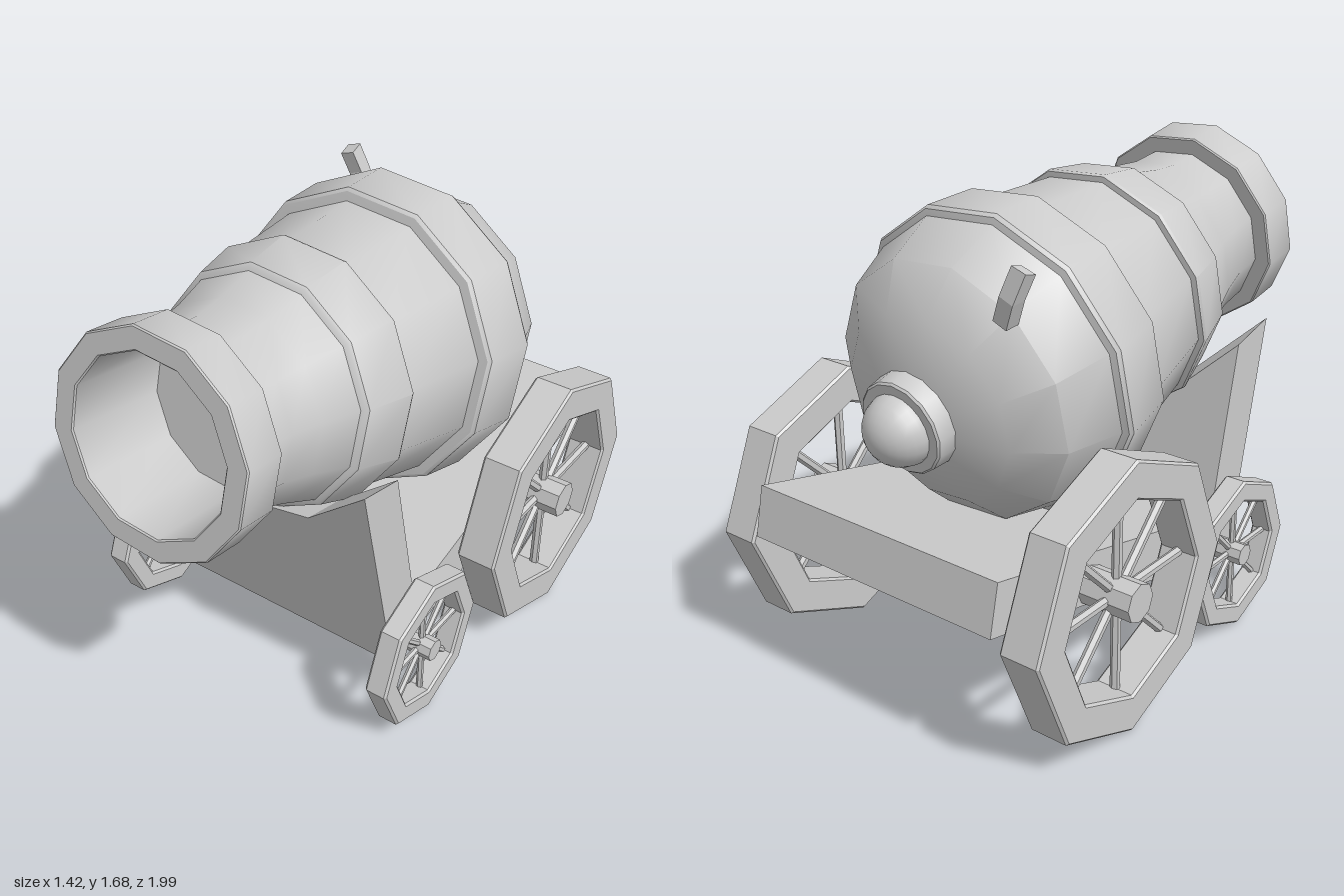
import * as THREE from 'three';
import { toCreasedNormals } from 'three/addons/utils/BufferGeometryUtils.js';

const grey = new THREE.MeshStandardMaterial({ color: 0xcccccc });
const greyDouble = new THREE.MeshStandardMaterial({ color: 0xcccccc, side: THREE.DoubleSide });

function part(name, geometry, material = grey) {
  const mesh = new THREE.Mesh(geometry, material);
  mesh.name = name;
  return mesh;
}

// Counter-clockwise octagon with a corner pointing up
function octagon(r, Type) {
  const pts = [];
  for (let i = 0; i < 8; i++) {
    const a = (i * Math.PI) / 4;
    pts.push(new THREE.Vector2(-r * Math.sin(a), r * Math.cos(a)));
  }
  return new Type(pts);
}

// Spoked wheel on an x axle; x0..x1 is the rim, hub0..hub1 the hub
function wheel(name, side, { r, inner, x0, x1, hub0, hub1, hubR, spokeR, y, z }) {
  const group = new THREE.Group();
  group.name = name;
  const b = 0.008;
  const shape = octagon(r - b, THREE.Shape);
  shape.holes.push(octagon(inner + b, THREE.Path));
  const depth = x1 - x0 - 2 * b;
  const rim = new THREE.ExtrudeGeometry(shape, {
    depth, bevelEnabled: true, bevelSize: b, bevelThickness: b, bevelSegments: 1,
  });
  rim.translate(0, 0, -depth / 2).rotateY(Math.PI / 2);
  group.add(part('rim', rim));

  const hub = new THREE.CylinderGeometry(hubR, hubR, hub1 - hub0, 8).rotateZ(Math.PI / 2);
  hub.translate(side * ((hub0 + hub1 - x0 - x1) / 2), 0, 0);
  group.add(part('hub', toCreasedNormals(hub, 0.5)));

  const len = inner + 0.01;
  for (let i = 0; i < 8; i++) {
    const spoke = new THREE.CylinderGeometry(spokeR, spokeR, len, 6);
    spoke.translate(0, len / 2, 0).rotateX((i * Math.PI) / 4);
    group.add(part('spoke', toCreasedNormals(spoke, 0.5)));
  }
  group.position.set((side * (x0 + x1)) / 2, y, z);
  return group;
}

// Carriage: L-shaped shell, open underneath, with a cradle cut in the front plate
function carriage() {
  const group = new THREE.Group();
  group.name = 'carriage';
  const W = 0.515;
  const stations = [[-W, 1.1], [-0.26, 0.865], [0, 0.805], [0.26, 0.865], [W, 1.1]];
  const profile = (topY) => {
    const topZ = 0.35 + (0.193 * (topY - 0.227)) / 0.873;
    return [
      [0.35, 0.227], [topZ, topY], [topZ - 0.187, topY - 0.047],
      [0.222, 0.44], [-0.956, 0.706], [-0.995, 0.53],
    ];
  };
  const pos = [];
  for (let s = 0; s < stations.length - 1; s++) {
    const [xa, ya] = stations[s];
    const [xb, yb] = stations[s + 1];
    const pa = profile(ya).map(([z, y]) => [xa, y, z]);
    const pb = profile(yb).map(([z, y]) => [xb, y, z]);
    for (let i = 0; i < pa.length - 1; i++) {
      pos.push(...pa[i], ...pb[i], ...pb[i + 1], ...pa[i], ...pb[i + 1], ...pa[i + 1]);
    }
  }
  const shell = new THREE.BufferGeometry();
  shell.setAttribute('position', new THREE.Float32BufferAttribute(pos, 3));
  shell.computeVertexNormals();
  group.add(part('bedAndFrontPlate', shell, greyDouble));

  const outline = (side) => new THREE.Shape(profile(1.1).map(([z, y]) => new THREE.Vector2(-side * z, y)));
  for (const side of [1, -1]) {
    const panel = new THREE.ShapeGeometry(outline(side)).rotateY((side * Math.PI) / 2);
    panel.translate(side * W, 0, 0);
    group.add(part(side > 0 ? 'leftSidePanel' : 'rightSidePanel', panel, greyDouble));
  }
  return group;
}

// Barrel: one turned profile [radius, distance behind the muzzle], breech to bore floor
function barrel() {
  const group = new THREE.Group();
  group.name = 'barrel';
  const profile = [
    [0, 1.715], [0.174, 1.704], [0.335, 1.643], [0.474, 1.527], [0.54, 1.336],
    [0.562, 1.328], [0.57, 1.313], [0.545, 1.108], [0.533, 1.098], [0.5, 1.094],
    [0.445, 0.746], [0.465, 0.742], [0.469, 0.73], [0.424, 0.555], [0.415, 0.547], [0.4, 0.54],
    [0.355, 0.4], [0.328, 0.283], [0.322, 0.16],
    [0.379, 0.16], [0.384, 0.155], [0.384, 0.005], [0.379, 0],
    [0.308, 0], [0.303, 0.005], [0.295, 0.38], [0, 0.38],
  ].map(([r, t]) => new THREE.Vector2(r, -t));
  const phase = THREE.MathUtils.degToRad(11);
  const body = new THREE.LatheGeometry(profile, 12, phase);
  group.add(part('barrelBody', toCreasedNormals(body, 0.56)));

  // Rear collar and knob
  const collar = [[0, 1.775], [0.157, 1.775], [0.164, 1.768], [0.172, 1.69]]
    .map(([r, t]) => new THREE.Vector2(r, -t));
  group.add(part('collar', toCreasedNormals(new THREE.LatheGeometry(collar, 16), 0.6)));
  const knob = part('knob', new THREE.SphereGeometry(0.125, 20, 14));
  knob.position.y = -1.765;
  group.add(knob);

  group.position.set(0, 1.31, 0.935);
  group.rotation.x = THREE.MathUtils.degToRad(80);
  return group;
}

// Short, slightly bent fuse of square section
function fuse() {
  const path = new THREE.CatmullRomCurve3([
    new THREE.Vector3(-0.31, 1.38, -0.66),
    new THREE.Vector3(-0.358, 1.495, -0.674),
    new THREE.Vector3(-0.378, 1.555, -0.656),
  ]);
  const h = 0.028;
  const square = new THREE.Shape([[-h, -h], [h, -h], [h, h], [-h, h]].map((p) => new THREE.Vector2(...p)));
  const g = new THREE.ExtrudeGeometry(square, { steps: 2, extrudePath: path });
  return part('fuse', g, greyDouble);
}

export function createModel() {
  const model = new THREE.Group();
  model.name = 'cannon';
  model.add(barrel(), fuse(), carriage());
  const rear = {
    r: 0.49, inner: 0.355, x0: 0.543, x1: 0.692, hub0: 0.505, hub1: 0.711,
    hubR: 0.068, spokeR: 0.017, y: 0.491, z: -0.502,
  };
  const front = {
    r: 0.29, inner: 0.212, x0: 0.539, x1: 0.624, hub0: 0.505, hub1: 0.637,
    hubR: 0.041, spokeR: 0.012, y: 0.295, z: 0.268,
  };
  for (const [side, label] of [[1, 'left'], [-1, 'right']]) {
    model.add(wheel(label + 'RearWheel', side, rear));
    model.add(wheel(label + 'FrontWheel', side, front));
  }
  return model;
}
